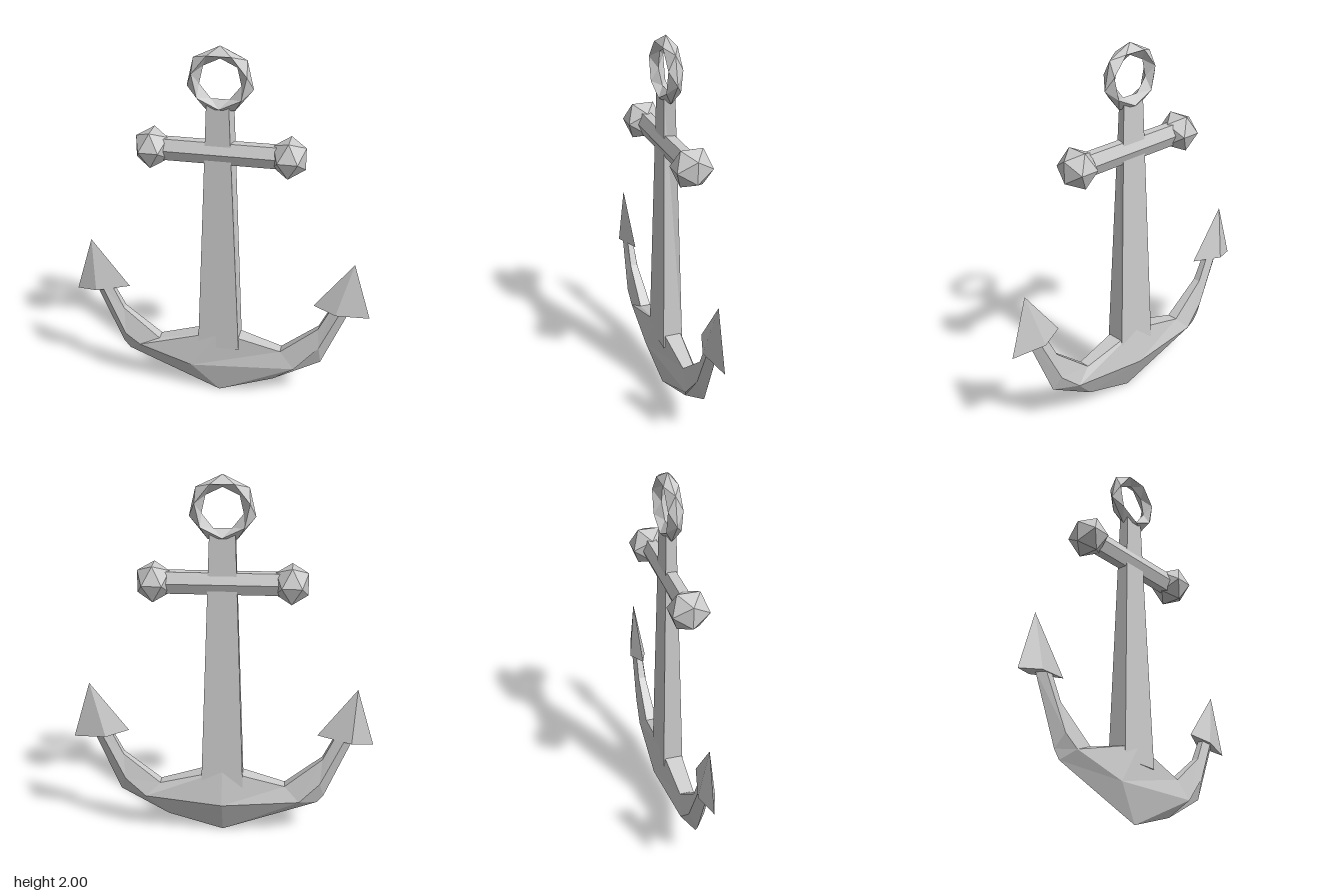
import * as THREE from 'three';
import { ConvexGeometry } from 'three/addons/geometries/ConvexGeometry.js';

const material = new THREE.MeshStandardMaterial({ color: 0xcccccc, flatShading: true });

// Skin a row of closed cross-sections with flat triangles
function loft(sections, caps = true) {
  const pos = [];
  const tri = (a, b, c) => pos.push(...a, ...b, ...c);
  const n = sections[0].length;
  for (let s = 0; s < sections.length - 1; s++) {
    const a = sections[s], b = sections[s + 1];
    for (let i = 0; i < n; i++) {
      const j = (i + 1) % n;
      tri(a[i], a[j], b[i]);
      tri(a[j], b[j], b[i]);
    }
  }
  if (caps) {
    const first = sections[0], last = sections[sections.length - 1];
    for (let i = 1; i < n - 1; i++) {
      tri(first[0], first[i + 1], first[i]);
      tri(last[0], last[i], last[i + 1]);
    }
  }
  const g = new THREE.BufferGeometry();
  g.setAttribute('position', new THREE.Float32BufferAttribute(pos, 3));
  g.computeVertexNormals();
  return g;
}

export function createModel() {
  const group = new THREE.Group();
  const add = (name, geometry) => {
    const mesh = new THREE.Mesh(geometry, material);
    mesh.name = name;
    group.add(mesh);
    return mesh;
  };

  // Tapered shank, its front left edge cut back towards the top
  const shankSection = (y, w, d, cut) => [[-w, y, d], [w - cut, y, d], [w, y, -d], [-w, y, -d]];
  add('shank', loft([shankSection(0.3, 0.113, 0.054, 0), shankSection(1.7, 0.066, 0.026, 0.018)]));

  // Curved arms: five-sided sections from tip to tip (inner edge, front ridge, outer edge, back ridge)
  const armSection = (inner, front, outer, back) => [
    [inner[0], inner[1], inner[2]], front, outer, back, [inner[0], inner[1], -inner[2]],
  ];
  add('arms', loft([
    armSection([-0.61, 0.615, 0.015], [-0.66, 0.605, 0.028], [-0.70, 0.59, 0], [-0.66, 0.605, -0.028]),
    armSection([-0.54, 0.47, 0.02], [-0.53, 0.32, 0.045], [-0.555, 0.245, 0], [-0.53, 0.33, -0.04]),
    armSection([-0.34, 0.305, 0.03], [-0.45, 0.26, 0.048], [-0.52, 0.2, 0], [-0.42, 0.22, -0.05]),
    armSection([0, 0.4, 0.051], [-0.15, 0.175, 0.066], [0, 0, 0.02], [0, 0.2, -0.08]),
    armSection([0.34, 0.305, 0.03], [0.42, 0.21, 0.045], [0.3, 0.1, 0], [0.42, 0.23, -0.05]),
    armSection([0.54, 0.47, 0.02], [0.55, 0.36, 0.036], [0.56, 0.25, 0], [0.53, 0.33, -0.04]),
    armSection([0.61, 0.615, 0.015], [0.66, 0.605, 0.028], [0.70, 0.59, 0], [0.66, 0.605, -0.028]),
  ]));

  // Pointed flukes on the arm tips
  for (const [name, side, ridge] of [['rightFluke', -1, 0.69], ['leftFluke', 1, 0.63]]) {
    const points = [[0.713, 0.875, 0], [0.808, 0.56, 0], [0.508, 0.605, 0],
      [ridge, 0.58, 0.042], [ridge, 0.58, -0.046]];
    add(name, new ConvexGeometry(points.map(([x, y, z]) => new THREE.Vector3(side * x, y, z))));
  }

  // Six-sided stock with a ridge facing forwards
  const stock = new THREE.CylinderGeometry(0.066, 0.066, 0.62, 6);
  stock.rotateZ(Math.PI / 2).scale(1, 1, 0.72);
  add('stock', stock).position.y = 1.447;

  // Faceted knobs on the stock ends
  for (const [name, side] of [['rightKnob', -1], ['leftKnob', 1]]) {
    const knob = new THREE.IcosahedronGeometry(0.11, 0);
    knob.rotateY(Math.PI / 2).scale(0.89, 1, 1);
    add(name, knob).position.set(side * 0.353, 1.447, 0);
  }

  // Ring: loops of seven points, each turned half a step from the one before
  const step = (Math.PI * 2) / 7;
  const loop = (r, z, turn) => Array.from({ length: 7 }, (_, i) => {
    const a = Math.PI / 2 + (i + turn) * step;
    return [r * Math.cos(a), r * Math.sin(a), z];
  });
  const ring = loft([
    loop(0.172, 0, 0), loop(0.142, 0.038, 0.5), loop(0.108, 0, 1),
    loop(0.142, -0.038, 1.5), loop(0.172, 0, 2),
  ], false);
  add('ring', ring).position.y = 1.828;

  return group;
}
